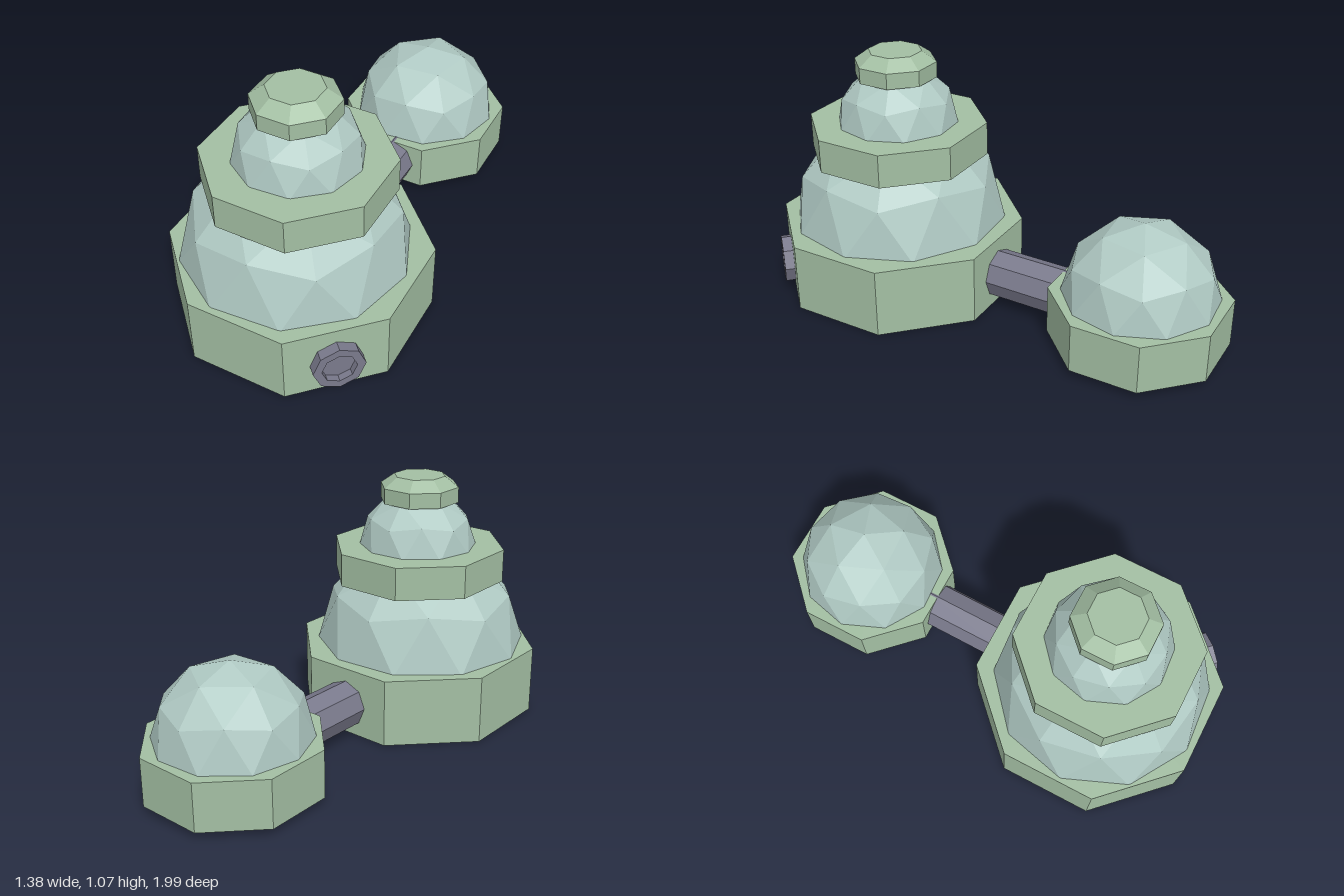
import * as THREE from 'three';

const paint = (color) => new THREE.MeshStandardMaterial({ color, flatShading: true });
const green = paint(0xa3bfa3);
const pale = paint(0xb0cac4);
const metal = paint(0x7a7a8c);

// Upper half of a once-subdivided icosahedron with a corner at the pole
function domeGeometry(r) {
  const rings = [
    { n: 5, start: 0, at: () => [0.5257, 0.8507] },
    { n: 10, start: 0, at: (i) => (i % 2 ? [0.8507, 0.5257] : [0.8944, 0.4472]) },
    { n: 10, start: Math.PI / 10, at: () => [1, 0] },
  ];
  const pos = [0, r, 0];
  for (const { n, start, at } of rings) {
    for (let i = 0; i < n; i++) {
      const a = start + (i / n) * Math.PI * 2;
      const [w, h] = at(i);
      pos.push(r * w * Math.cos(a), r * h, -r * w * Math.sin(a));
    }
  }
  const A = (i) => 1 + (i % 5);
  const B = (i) => 6 + (i % 10);
  const E = (i) => 16 + ((i + 10) % 10);
  const index = [];
  for (let k = 0; k < 5; k++) {
    index.push(0, A(k), A(k + 1));
    index.push(A(k), B(2 * k), B(2 * k + 1));
    index.push(A(k), B(2 * k + 1), A(k + 1));
    index.push(A(k + 1), B(2 * k + 1), B(2 * k + 2));
  }
  for (let j = 0; j < 10; j++) {
    index.push(B(j), E(j), B(j + 1));
    index.push(B(j), E(j - 1), E(j));
  }
  const g = new THREE.BufferGeometry();
  g.setAttribute('position', new THREE.Float32BufferAttribute(pos, 3));
  g.setIndex(index);
  const flat = g.toNonIndexed();
  flat.computeVertexNormals();
  return flat;
}

export function createModel() {
  const model = new THREE.Group();

  const add = (name, geometry, material, x, y, z) => {
    const mesh = new THREE.Mesh(geometry, material);
    mesh.name = name;
    mesh.position.set(x, y, z);
    model.add(mesh);
    return mesh;
  };
  // Octagonal slab between two heights
  const slab = (name, x, z, y0, y1, r, rTop = r) =>
    add(name, new THREE.CylinderGeometry(rTop, r, y1 - y0, 8), green, x, (y0 + y1) / 2, z);
  const dome = (name, x, y, z, r) => add(name, domeGeometry(r), pale, x, y, z);

  // Main tower
  const main = new THREE.Vector3(-0.148, 0.139, 0.45);
  slab('mainBase', main.x, main.z, 0, 0.302, 0.544);
  dome('lowerDome', -0.165, 0.292, 0.459, 0.476);
  slab('middleRing', main.x, main.z, 0.61, 0.756, 0.389);
  dome('upperDome', -0.146, 0.745, 0.448, 0.264);
  slab('topRing', main.x, main.z, 0.955, 1.023, 0.177);
  slab('topCap', main.x, main.z, 1.023, 1.068, 0.177, 0.115);

  // Side building
  const side = new THREE.Vector3(0.314, 0.139, -0.625);
  slab('sideBase', side.x, side.z, 0.032, 0.241, 0.376);
  dome('sideDome', side.x, 0.24, side.z, 0.325);

  // Connecting tunnel between the bases
  const dir = side.clone().sub(main).normalize();
  const from = main.clone().addScaledVector(dir, 0.45);
  const to = side.clone().addScaledVector(dir, -0.3);
  const length = from.distanceTo(to);
  const mid = from.clone().add(to).multiplyScalar(0.5);
  const tunnel = add('tunnel', new THREE.CylinderGeometry(0.105, 0.105, length, 8).rotateX(Math.PI / 2),
    metal, mid.x, mid.y, mid.z);
  tunnel.lookAt(to);

  // Recessed port on one front face of the main base
  const profile = [[0.105, 0], [0.105, 0.05], [0.07, 0.05], [0.07, 0.022], [0, 0.022]]
    .map(([x, y]) => new THREE.Vector2(x, y));
  const angle = Math.PI / 8;
  const port = add('port', new THREE.LatheGeometry(profile, 8).rotateX(Math.PI / 2), metal,
    main.x + 0.495 * Math.sin(angle), 0.139, main.z + 0.495 * Math.cos(angle));
  port.rotation.y = angle;

  return model;
}
